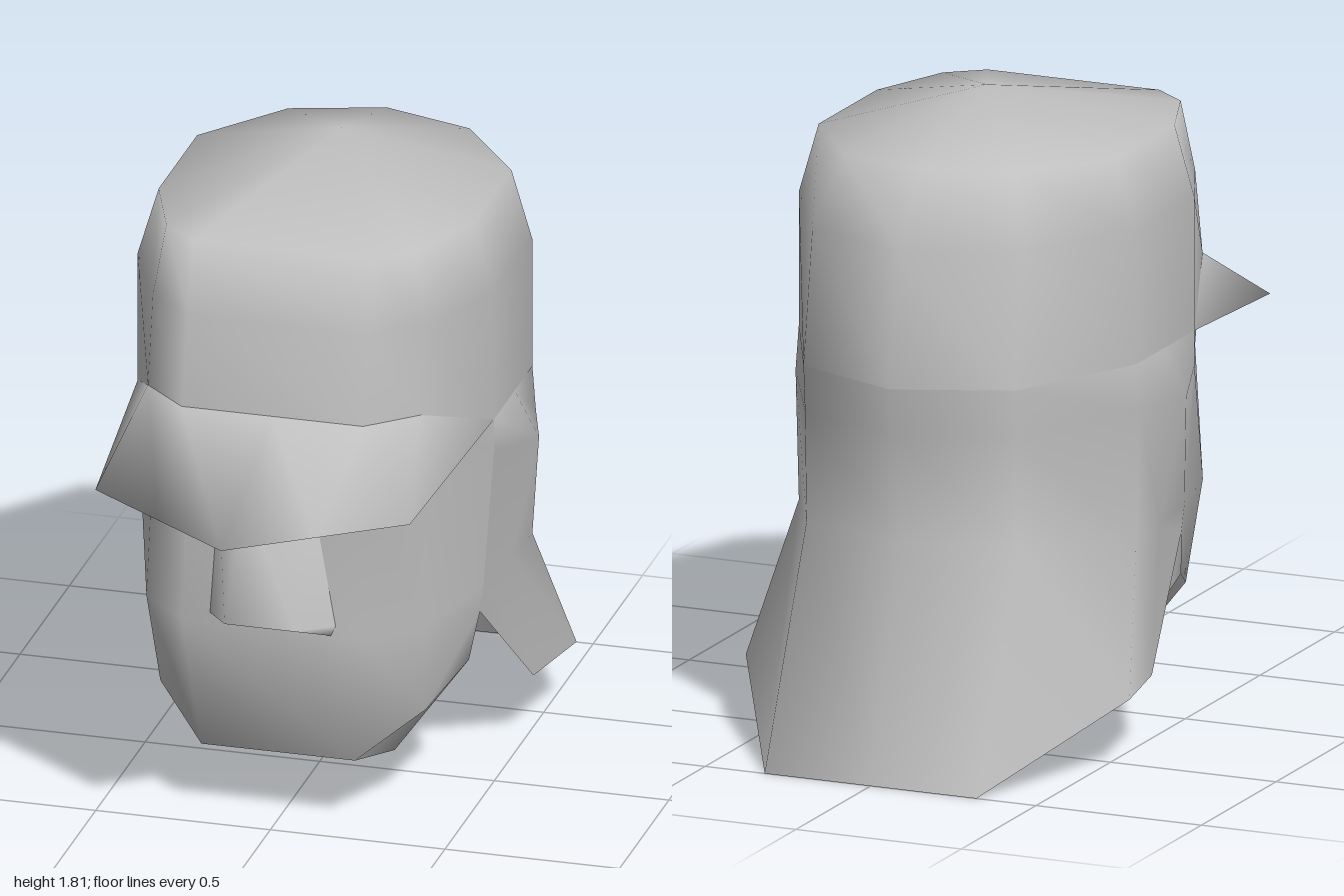
import * as THREE from 'three';
import { mergeVertices } from 'three/addons/utils/BufferGeometryUtils.js';

const shell = new THREE.MeshStandardMaterial({ color: 0xbfbfbf, side: THREE.DoubleSide });
shell.name = 'shell grey';

// Mirrors each half section across x = 0 and skins the sections, listed top to bottom.
function loft(name, halves, closed = false) {
  const rows = halves.map((half) => {
    const other = half.filter((p) => p[0] !== 0 || half.length > 5)
      .map(([x, y, z]) => [-x, y, z]).reverse();
    const row = [...other, ...half];
    if (closed) row.push(row[0]);
    return row;
  });
  const n = rows[0].length;
  const index = [];
  for (let r = 0; r < rows.length - 1; r++) {
    for (let c = 0; c < n - 1; c++) {
      const a = r * n + c, b = a + 1, d = a + n, e = d + 1;
      index.push(a, b, d, b, e, d);
    }
  }
  let geo = new THREE.BufferGeometry();
  geo.setAttribute('position', new THREE.Float32BufferAttribute(rows.flat(2), 3));
  geo.setIndex(index);
  geo = mergeVertices(geo, 1e-4);
  geo.computeVertexNormals();
  const mesh = new THREE.Mesh(geo, shell);
  mesh.name = name;
  return mesh;
}

export function createModel() {
  const group = new THREE.Group();
  group.name = 'cap with face mask';

  // Domed crown, sections run from centre back to front
  const apex = [0, 1.81, -0.22];
  group.add(loft('crown', [
    Array(6).fill(apex),
    [[0, 1.68, -0.68], [0.26, 1.68, -0.6], [0.45, 1.68, -0.35], [0.45, 1.68, 0.04], [0.36, 1.68, 0.28], [0.26, 1.68, 0.36]],
    [[0, 1.48, -0.81], [0.32, 1.48, -0.68], [0.51, 1.48, -0.35], [0.51, 1.48, 0.04], [0.39, 1.48, 0.31], [0.26, 1.48, 0.42]],
    [[0, 1.1, -0.87], [0.32, 1.1, -0.74], [0.51, 1.1, -0.35], [0.51, 1.1, 0.04], [0.39, 1.23, 0.36], [0.26, 1.23, 0.48]],
  ], true));

  // Neck guard with ear bulges, centre back to side
  group.add(loft('neckGuard', [
    [[0, 1.1, -0.87], [0.32, 1.1, -0.74], [0.51, 1.1, -0.35], [0.51, 1.1, -0.17], [0.51, 1.1, 0.04]],
    [[0, 0.97, -0.85], [0.32, 0.97, -0.73], [0.52, 0.97, -0.35], [0.58, 0.97, -0.17], [0.51, 1.0, 0.04]],
    [[0, 0.65, -0.81], [0.32, 0.65, -0.72], [0.51, 0.6, -0.35], [0.5, 0.6, -0.17], [0.48, 0.6, 0.04]],
    [[0, 0, -1], [0.32, 0, -1], [0.58, 0.2, -0.55], [0.53, 0.2, -0.29], [0.47, 0.52, 0.04]],
  ]));

  // Face mask, front to side, ending in the chin underside
  group.add(loft('faceMask', [
    [[-0.26, 1.23, 0.48], [-0.39, 1.23, 0.36], [-0.51, 1.1, 0.04]],
    [[-0.26, 0.96, 0.42], [-0.39, 0.98, 0.31], [-0.51, 1.0, 0.04]],
    [[-0.26, 0.59, 0.48], [-0.4, 0.59, 0.34], [-0.48, 0.6, 0.04]],
    [[-0.22, 0.2, 0.42], [-0.38, 0.31, 0.27], [-0.47, 0.52, 0.04]],
    [[-0.26, 0.13, 0.16], [-0.45, 0.39, 0.08], [-0.47, 0.52, 0.04]],
  ]));

  // Nose wedge
  group.add(loft('nose', [
    [[-0.1, 0.96, 0.42], [-0.17, 0.96, 0.42]],
    [[-0.1, 0.65, 0.61], [-0.18, 0.62, 0.475]],
    [[-0.1, 0.59, 0.475], [-0.17, 0.59, 0.475]],
  ]));

  // Pointed visor: upper seam, rim, lower seam
  group.add(loft('visor', [
    [[0, 1.23, 0.48], [-0.26, 1.23, 0.48], [-0.39, 1.23, 0.36], [-0.51, 1.1, 0.04]],
    [[0, 1.04, 1], [-0.225, 1.04, 0.84], [-0.45, 1.04, 0.68], [-0.51, 1.1, 0.04]],
    [[0, 1.05, 0.44], [-0.26, 1.05, 0.44], [-0.39, 1.06, 0.33], [-0.51, 1.1, 0.04]],
  ]));

  return group;
}
